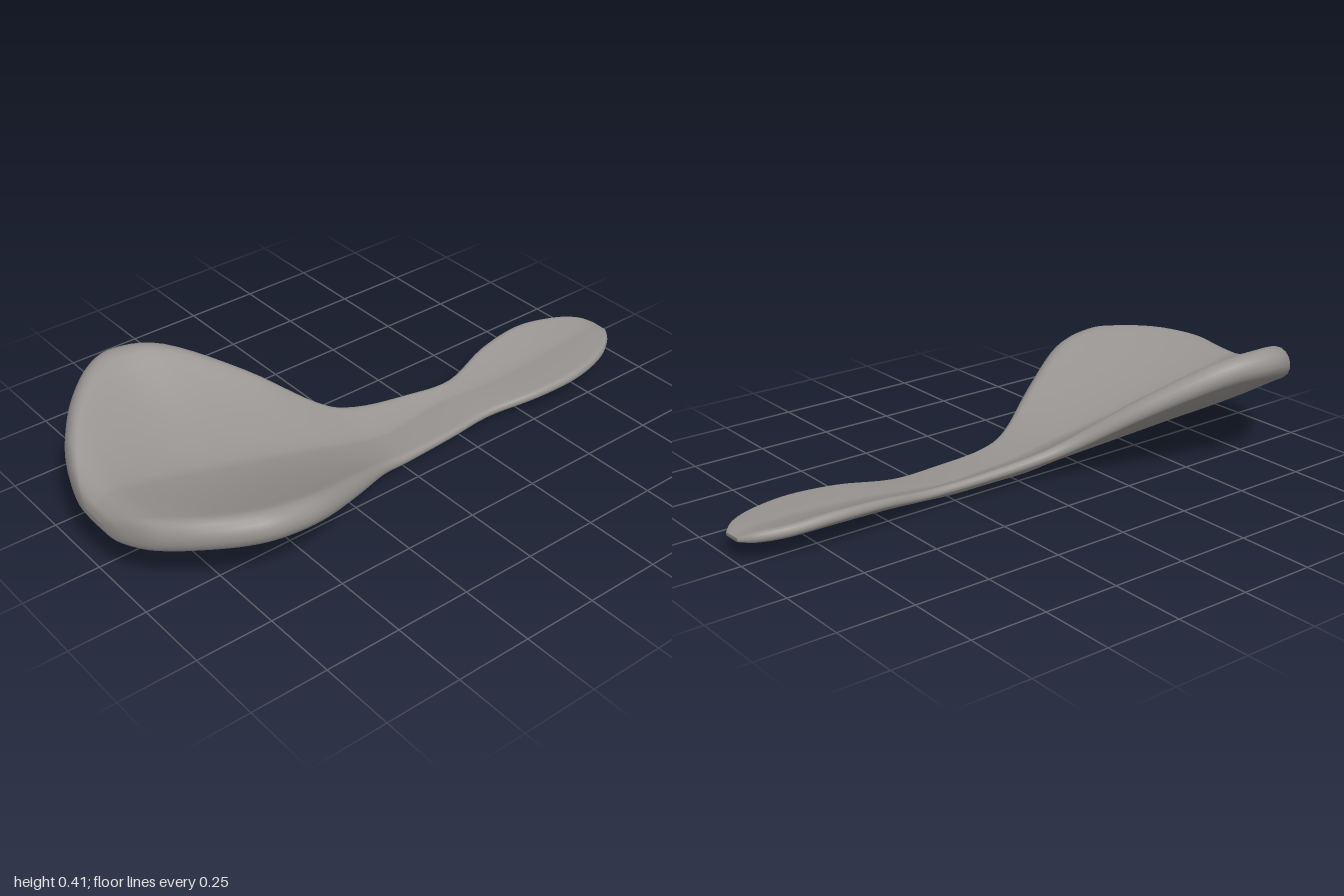
import * as THREE from 'three';

// Stations along the length:
// x, back edge z, back y, front edge z, front y, middle y, rim radius, middle half thickness
const STATIONS = [
  [-1, -0.05, 0.18, 0.05, 0.178, 0.178, 0.01, 0.01],
  [-0.99, -0.12, 0.195, 0.12, 0.185, 0.182, 0.032, 0.032],
  [-0.96, -0.21, 0.225, 0.205, 0.203, 0.186, 0.046, 0.046],
  [-0.92, -0.28, 0.258, 0.267, 0.215, 0.186, 0.05, 0.052],
  [-0.85, -0.36, 0.303, 0.34, 0.228, 0.174, 0.05, 0.051],
  [-0.75, -0.43, 0.345, 0.41, 0.235, 0.156, 0.05, 0.047],
  [-0.65, -0.45, 0.36, 0.445, 0.235, 0.138, 0.048, 0.044],
  [-0.5, -0.405, 0.34, 0.43, 0.21, 0.112, 0.043, 0.04],
  [-0.3, -0.27, 0.24, 0.332, 0.135, 0.076, 0.033, 0.033],
  [-0.12, -0.125, 0.12, 0.23, 0.062, 0.044, 0.022, 0.026],
  [0, -0.075, 0.08, 0.2, 0.034, 0.024, 0.018, 0.024],
  [0.2, -0.045, 0.06, 0.185, 0.03, 0.027, 0.015, 0.02],
  [0.37, -0.03, 0.055, 0.175, 0.034, 0.034, 0.015, 0.02],
  [0.55, -0.07, 0.088, 0.213, 0.05, 0.043, 0.016, 0.023],
  [0.72, -0.085, 0.1, 0.22, 0.058, 0.052, 0.018, 0.025],
  [0.86, -0.065, 0.09, 0.19, 0.062, 0.058, 0.018, 0.025],
  [0.95, -0.025, 0.08, 0.14, 0.067, 0.065, 0.016, 0.02],
  [0.995, 0.02, 0.071, 0.09, 0.069, 0.07, 0.006, 0.006],
];

const SUB = 5, ACROSS = 28, CAP = 8, BEND = 1.5;

// Smooth interpolation of every station column
function stationAt(s) {
  const last = STATIONS.length - 1;
  const i = Math.min(Math.floor(s), last - 1), f = s - i;
  const at = (k) => STATIONS[Math.max(0, Math.min(last, k))];
  return STATIONS[0].map((_, c) => {
    const [a, b, d, e] = [at(i - 1)[c], at(i)[c], at(i + 1)[c], at(i + 2)[c]];
    return b + 0.5 * f * (d - a + f * (2 * a - 5 * b + 4 * d - e + f * (3 * (b - d) + e - a)));
  });
}

// Dished section: a bent centre line thickened both ways, with round rims
function section([x, zb, yb, zf, yf, ym, r, rm]) {
  // The fold drifts to the back edge along the neck
  const zm = (zb + zf) / 2 - 0.035 * Math.exp(-(((x - 0.27) / 0.16) ** 2));
  const centre = (t) => {
    const u = Math.abs(t);
    const ze = t < 0 ? zb + r : zf - r, ye = t < 0 ? yb : yf;
    return [zm + (ze - zm) * u, ym + (ye - ym) * Math.pow(u, BEND)];
  };
  const angle = (t) => {
    const p = centre(t - 0.03), q = centre(t + 0.03);
    return Math.atan2(q[1] - p[1], q[0] - p[0]);
  };
  const ring = [];
  const add = (t, turn) => {
    const [z, y] = centre(t);
    const a = angle(t) + turn;
    const h = rm + (r - rm) * t * t;
    ring.push([z + Math.cos(a) * h, y + Math.sin(a) * h]);
  };
  const side = (dir) => {
    for (let k = 0; k <= ACROSS; k++) add(dir * (-1 + (2 * k) / ACROSS), (dir * Math.PI) / 2);
    for (let k = 1; k < CAP; k++) add(dir, (dir * Math.PI) / 2 - (k / CAP) * Math.PI);
  };
  side(1);
  side(-1);
  return ring;
}

function bodyGeometry() {
  const positions = [], index = [];
  const rows = (STATIONS.length - 1) * SUB;
  let n = 0;
  for (let i = 0; i <= rows; i++) {
    const st = stationAt(i / SUB);
    const ring = section(st);
    n = ring.length;
    for (const [z, y] of ring) positions.push(st[0], y, z);
  }
  for (let i = 0; i < rows; i++) {
    for (let j = 0; j < n; j++) {
      const a = i * n + j, b = i * n + ((j + 1) % n);
      index.push(a, b, a + n, b, b + n, a + n);
    }
  }
  // Close both tips
  const end = rows * n;
  for (let j = 1; j < n - 1; j++) {
    index.push(0, j + 1, j, end, end + j, end + j + 1);
  }
  const g = new THREE.BufferGeometry();
  g.setAttribute('position', new THREE.Float32BufferAttribute(positions, 3));
  g.setIndex(index);
  g.computeVertexNormals();
  return g;
}

export function createModel() {
  const group = new THREE.Group();
  group.name = 'spoonRest';
  const material = new THREE.MeshStandardMaterial({ color: 0x95928f });
  const body = new THREE.Mesh(bodyGeometry(), material);
  body.name = 'bowlAndHandle';
  group.add(body);
  return group;
}
